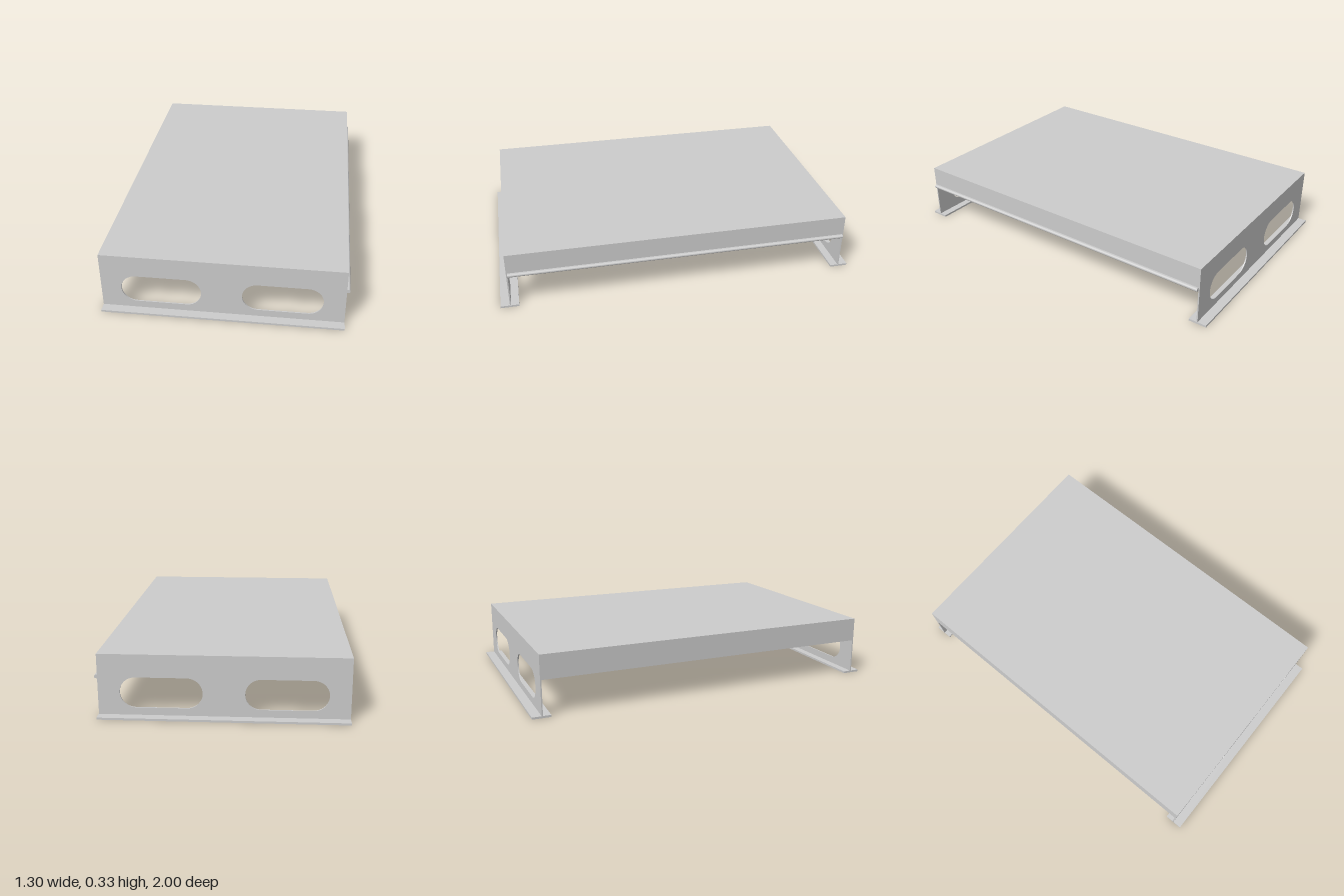
import * as THREE from 'three';

const material = new THREE.MeshStandardMaterial({ color: 0xcccccc });
const X0 = -0.648, X1 = 0.63, TOP = 0.333, END = 0.95, SHEET = 0.007;

function add(parent, name, geometry) {
  const mesh = new THREE.Mesh(geometry, material);
  mesh.name = name;
  parent.add(mesh);
  return mesh;
}

// Box given by its lower and upper corners
function block(parent, name, x0, y0, z0, x1, y1, z1) {
  const mesh = add(parent, name, new THREE.BoxGeometry(x1 - x0, y1 - y0, z1 - z0));
  mesh.position.set((x0 + x1) / 2, (y0 + y1) / 2, (z0 + z1) / 2);
}

// Rounded slot, used as a hole in the end plates
function slot(x0, x1, y0, y1) {
  const r = (y1 - y0) / 2, cy = (y0 + y1) / 2;
  const path = new THREE.Path();
  path.absarc(x1 - r, cy, r, -Math.PI / 2, Math.PI / 2, false);
  path.absarc(x0 + r, cy, r, Math.PI / 2, Math.PI * 1.5, false);
  path.closePath();
  return path;
}

function endPlateGeometry() {
  const shape = new THREE.Shape();
  shape.moveTo(X0, 0.005);
  shape.lineTo(X1, 0.005);
  shape.lineTo(X1, TOP - SHEET);
  shape.lineTo(X0, TOP - SHEET);
  shape.closePath();
  shape.holes.push(slot(-0.54, -0.117, 0.051, 0.212), slot(0.097, 0.518, 0.051, 0.212));
  return new THREE.ExtrudeGeometry(shape, { depth: SHEET, bevelEnabled: false, curveSegments: 24 });
}

// Round-nosed lip along the bottom of a rail
function lipGeometry(length) {
  const r = 0.01;
  const shape = new THREE.Shape();
  shape.moveTo(-SHEET, -r);
  shape.lineTo(0.007, -r);
  shape.absarc(0.007, 0, r, -Math.PI / 2, Math.PI / 2, false);
  shape.lineTo(-SHEET, r);
  shape.closePath();
  return new THREE.ExtrudeGeometry(shape, { depth: length, bevelEnabled: false, curveSegments: 10 });
}

export function createModel() {
  const model = new THREE.Group();
  model.name = 'platform';

  block(model, 'topSheet', X0, TOP - SHEET, -END, X1, TOP, END);

  // Slotted end plates, each on a flat foot
  const plate = endPlateGeometry();
  for (const side of [1, -1]) {
    const end = new THREE.Group();
    end.name = side > 0 ? 'frontEnd' : 'backEnd';
    add(end, 'endPlate', plate).position.z = side > 0 ? END - SHEET : -END;
    const z = side * END;
    block(end, 'foot', X0, 0, z - 0.05, X1 + 0.002, 0.011, z + 0.05);
    model.add(end);
  }

  // Three lengthwise rails with lips on the same side
  const half = END - SHEET;
  const lip = lipGeometry(2 * half);
  const rails = { rightRail: X0 + SHEET, middleRail: -0.006, leftRail: X1 };
  for (const [name, x] of Object.entries(rails)) {
    const rail = new THREE.Group();
    rail.name = name;
    block(rail, 'railWeb', x - SHEET, 0.202, -half, x, TOP - SHEET, half);
    add(rail, 'railLip', lip).position.set(x, 0.211, -half);
    model.add(rail);
  }
  return model;
}
